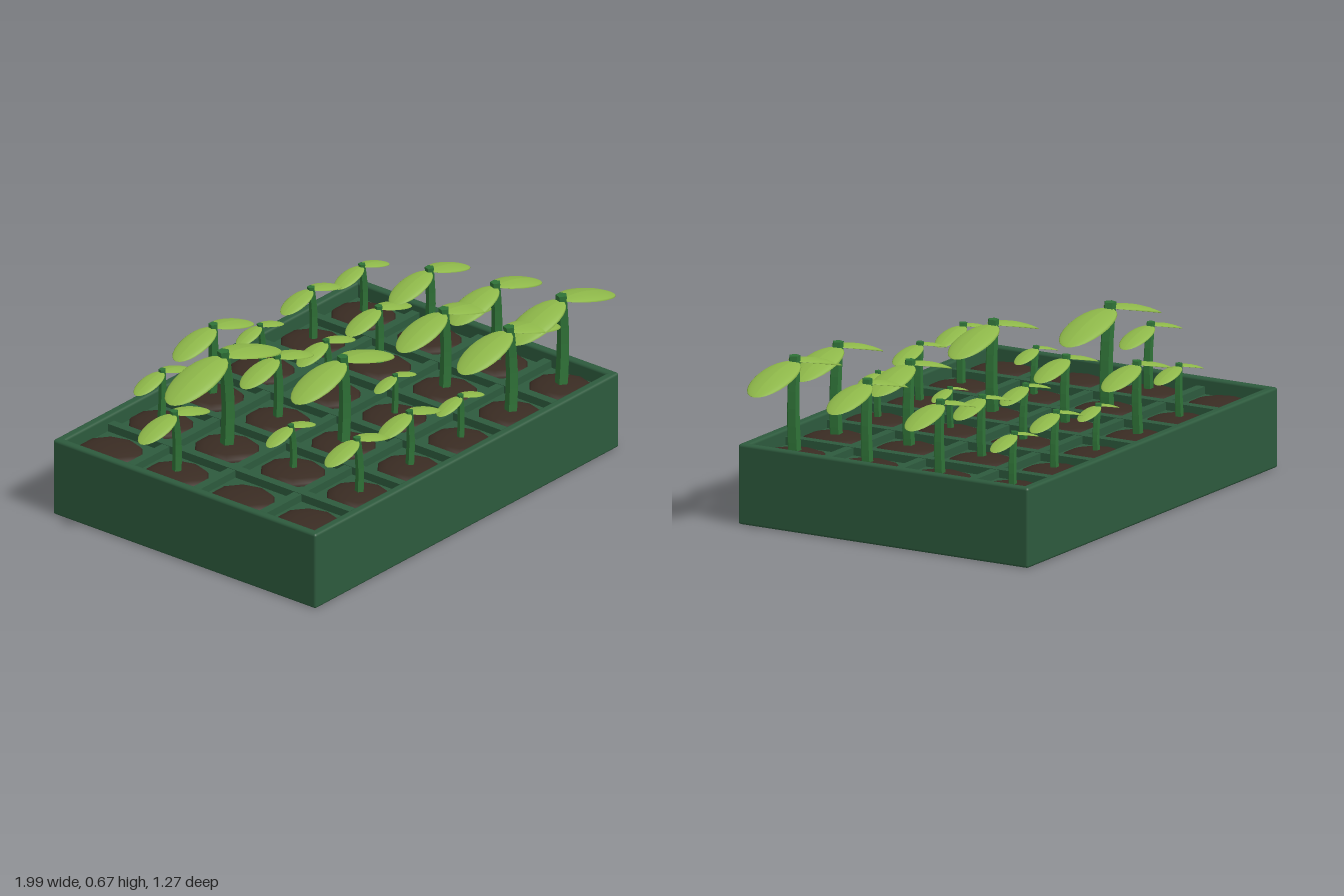
import * as THREE from 'three';
import { RoundedBoxGeometry } from 'three/addons/geometries/RoundedBoxGeometry.js';

const material = (name, color, extra = {}) => {
  const m = new THREE.MeshStandardMaterial({ color, ...extra });
  m.name = name;
  return m;
};

// Tray measurements
const CX = -0.045, W = 1.79, D = 1.275, H = 0.31, RIM = 0.036;
const COLS = 6, ROWS = 4, CELL_W = 0.298, CELL_D = 0.32;
const cellX = i => CX + (i - (COLS - 1) / 2) * CELL_W;
const cellZ = j => (j - (ROWS - 1) / 2) * CELL_D;

// Each seedling: [column, row, x of the stem top, leaf length]
const SEEDLINGS = [
  [1, 0, -0.485, 0.155], [2, 0, -0.185, 0.22], [3, 0, 0.09, 0.13], [4, 0, 0.39, 0.165], [5, 0, 0.69, 0.15],
  [0, 1, -0.805, 0.195], [1, 1, -0.515, 0.315], [2, 1, -0.2, 0.2], [3, 1, 0.09, 0.16], [4, 1, 0.4, 0.18], [5, 1, 0.7, 0.22],
  [1, 2, -0.505, 0.135], [2, 2, -0.2, 0.28], [3, 2, 0.11, 0.115], [4, 2, 0.395, 0.258], [5, 2, 0.7, 0.252],
  [1, 3, -0.505, 0.175], [2, 3, -0.195, 0.17], [3, 3, 0.105, 0.13], [4, 3, 0.39, 0.28], [5, 3, 0.7, 0.292],
];

// Moves every vertex by a rule
function reshape(geometry, rule) {
  const p = geometry.attributes.position, v = new THREE.Vector3();
  for (let i = 0; i < p.count; i++) {
    rule(v.fromBufferAttribute(p, i));
    p.setXYZ(i, v.x, v.y, v.z);
  }
  geometry.computeVertexNormals();
  return geometry;
}

// Flattened, drooping leaf of unit length, growing along +x
function leafGeometry() {
  const g = new THREE.SphereGeometry(1, 16, 12).rotateZ(-Math.PI / 2);
  return reshape(g, v => {
    const u = Math.max(0, (v.x + 1) / 2);
    const z = v.z * 0.27;
    v.set(u, v.y * 0.028 - 0.26 * Math.pow(u, 1.7) - 0.5 * z * z, z);
  });
}

// Five-sided stem, tapered and bent towards its top
function stemGeometry(height, radius, lean) {
  const g = new THREE.CylinderGeometry(radius * 0.82, radius, height, 5, 6);
  return reshape(g.translate(0, height / 2, 0), v => {
    const t = v.y / height;
    v.x += lean * t * t + radius * 0.45 * Math.sin(t * Math.PI);
  });
}

export function createModel() {
  const green = material('trayGreen', 0x2d5a3d);
  const brown = material('soilBrown', 0x3a2c23);
  const stemGreen = material('stemGreen', 0x2f7237, { flatShading: true });
  const leafGreen = material('leafGreen', 0x8fb94a);

  const model = new THREE.Group();
  model.name = 'seedlingTray';
  const add = (parent, name, geometry, mat, x = 0, y = 0, z = 0) => {
    const mesh = new THREE.Mesh(geometry, mat);
    mesh.name = name;
    mesh.position.set(x, y, z);
    parent.add(mesh);
    return mesh;
  };

  // Outer walls
  const tray = new THREE.Group();
  tray.name = 'tray';
  model.add(tray);
  const longWall = new RoundedBoxGeometry(W, H, RIM, 2, 0.01);
  const shortWall = new RoundedBoxGeometry(RIM, H, D, 2, 0.01);
  for (const s of [-1, 1]) {
    add(tray, 'longWall', longWall, green, CX, H / 2, s * (D - RIM) / 2);
    add(tray, 'shortWall', shortWall, green, CX + s * (W - RIM) / 2, H / 2, 0);
  }

  // Ribs between the cells, ending just above the underside as seams
  const ribH = 0.275;
  for (let i = 1; i < COLS; i++)
    add(tray, 'crossRib', new THREE.BoxGeometry(0.036, ribH, D - RIM), green,
      (cellX(i) + cellX(i - 1)) / 2, 0.006 + ribH / 2, 0);
  for (let j = 1; j < ROWS; j++)
    add(tray, 'lengthRib', new THREE.BoxGeometry(W - RIM, ribH - 0.003, 0.036), green,
      CX, 0.006 + ribH / 2, (cellZ(j) + cellZ(j - 1)) / 2);

  // Cells with a soil mound in each
  const cell = new THREE.BoxGeometry(CELL_W - 0.006, 0.248, CELL_D - 0.006);
  const mound = new THREE.SphereGeometry(1, 10, 8).scale(0.121, 0.03, 0.133);
  const inset = (i, n) => (i === 0 ? 1 : i === n - 1 ? -1 : 0) * 0.008;
  for (let i = 0; i < COLS; i++)
    for (let j = 0; j < ROWS; j++) {
      const c = add(tray, 'cell', cell, green, cellX(i) + inset(i, COLS), 0.126, cellZ(j) + inset(j, ROWS));
      c.scale.set(i % (COLS - 1) ? 1 : 0.94, 1, j % (ROWS - 1) ? 1 : 0.94);
      add(model, 'soil', mound, brown, cellX(i), 0.247, cellZ(j));
    }

  // Seedlings: taller stems carry longer leaves
  const leaf = leafGeometry();
  const BASE = 0.24;
  for (const [col, row, topX, length] of SEEDLINGS) {
    const plant = new THREE.Group();
    plant.name = 'seedling';
    plant.position.set(cellX(col), BASE, cellZ(row));
    model.add(plant);
    const lean = topX - cellX(col);
    const height = 0.3 + 1.17 * length - BASE;
    add(plant, 'stem', stemGeometry(height, 0.006 + 0.074 * length, lean), stemGreen);
    for (const side of [0, 1]) {
      const blade = add(plant, side ? 'rightLeaf' : 'leftLeaf', leaf, leafGreen, lean, height - 0.08 * length, 0);
      blade.scale.setScalar(length);
      blade.rotation.y = side * Math.PI;
    }
  }
  return model;
}
